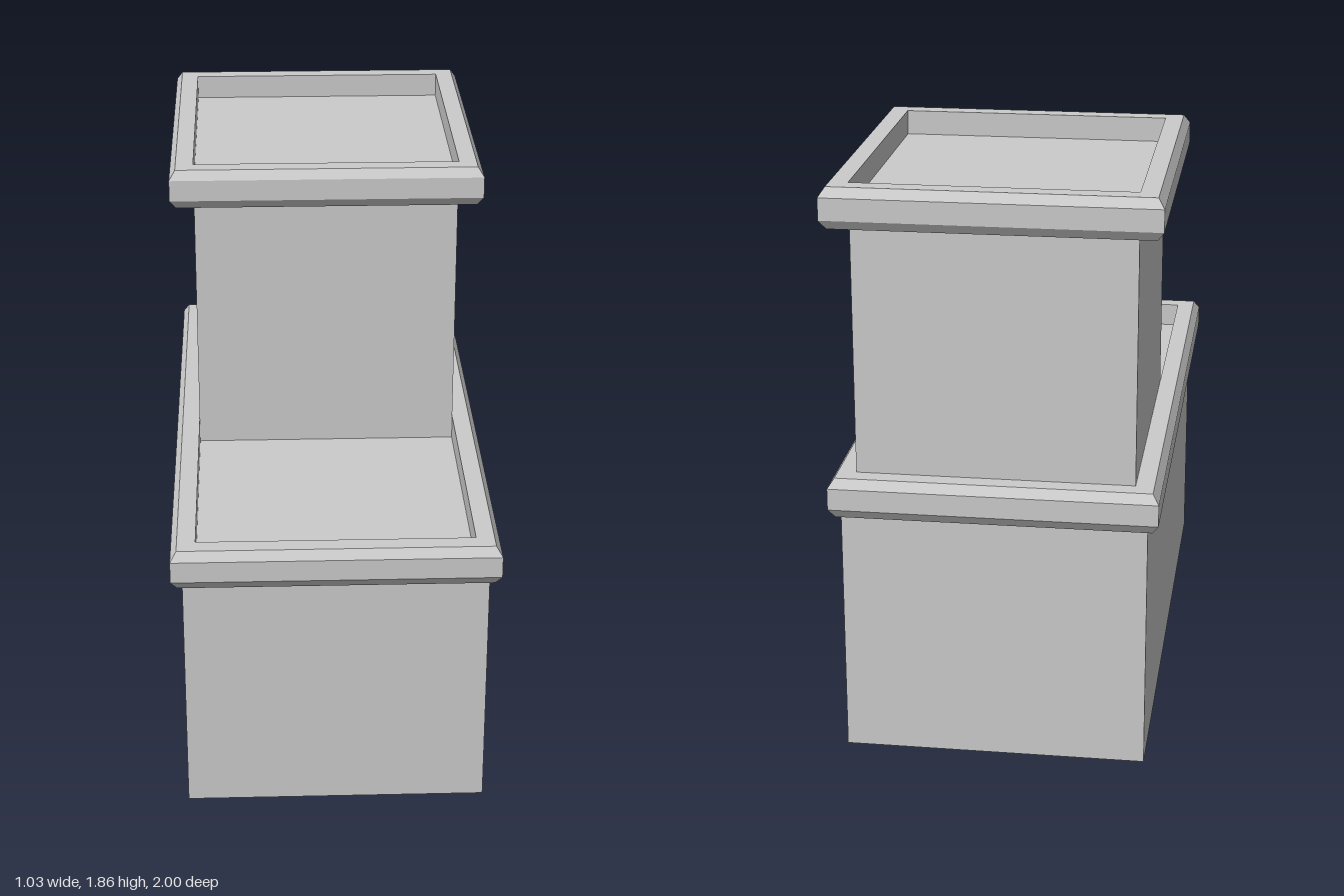
import * as THREE from 'three';

const grey = new THREE.MeshStandardMaterial({ color: 0xcccccc, flatShading: true });

// Axis-aligned block from a width, a y range and a z range
function block(name, width, y0, y1, z0, z1) {
  const mesh = new THREE.Mesh(new THREE.BoxGeometry(width, y1 - y0, z1 - z0), grey);
  mesh.position.set(0, (y0 + y1) / 2, (z0 + z1) / 2);
  mesh.name = name;
  return mesh;
}

// Mitred rectangular moulding: a cross-section of [inset, height] swept round four corners
function rim(name, halfWidth, y0, y1, z0, z1) {
  const thick = 0.078, bevel = 0.02, rise = 0.03;
  const profile = [
    [thick, y0], [bevel, y0], [0, y0 + rise],
    [0, y1 - rise], [bevel, y1], [thick, y1],
  ];
  const corner = (k, [inset, y]) => {
    const x = halfWidth - inset;
    const near = z1 - inset, far = z0 + inset;
    return [[-x, y, near], [x, y, near], [x, y, far], [-x, y, far]][k % 4];
  };
  const positions = [];
  for (let k = 0; k < 4; k++) {
    for (let i = 0; i < profile.length; i++) {
      const p = profile[i], q = profile[(i + 1) % profile.length];
      const a = corner(k, p), b = corner(k + 1, p);
      const c = corner(k + 1, q), d = corner(k, q);
      positions.push(...a, ...b, ...c, ...a, ...c, ...d);
    }
  }
  const geometry = new THREE.BufferGeometry();
  geometry.setAttribute('position', new THREE.Float32BufferAttribute(positions, 3));
  geometry.computeVertexNormals();
  const mesh = new THREE.Mesh(geometry, grey);
  mesh.name = name;
  return mesh;
}

export function createModel() {
  const group = new THREE.Group();
  group.name = 'twoTierBuilding';

  // Long lower storey; its top is the sunken roof inside the parapet
  group.add(block('lowerStorey', 0.96, 0, 0.85, -0.965, 0.965));
  group.add(rim('lowerParapet', 0.515, 0.8, 0.93, -1, 1));

  // Shorter upper storey, set towards the back
  group.add(block('upperStorey', 0.874, 0.85, 1.78, -0.922, 0.05));
  group.add(rim('upperParapet', 0.515, 1.73, 1.86, -1, 0.128));

  return group;
}
